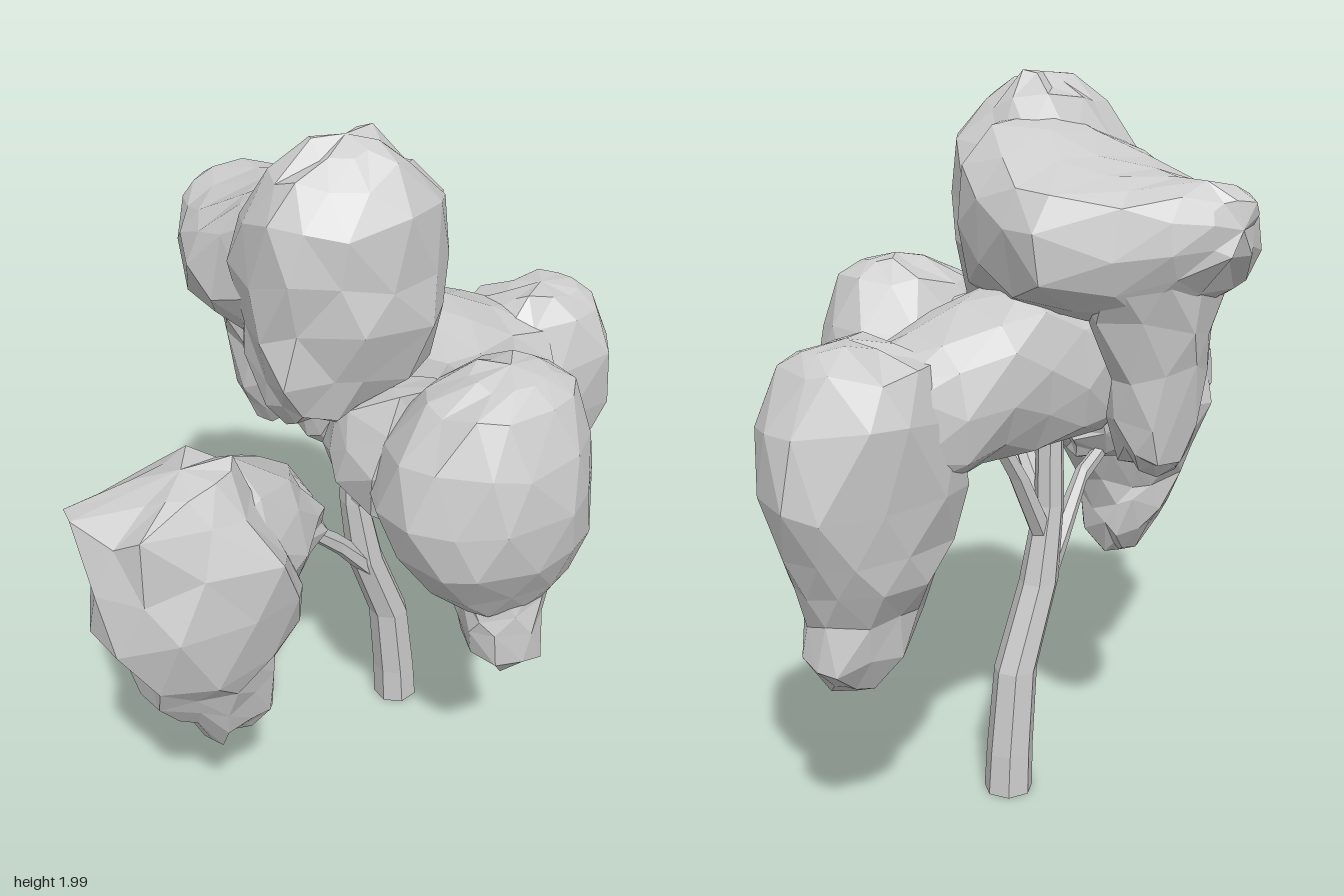
import * as THREE from 'three';

const material = new THREE.MeshStandardMaterial({ color: 0xcccccc, flatShading: true });

// Small seeded generator returning -1..1
function seeded(seed) {
  let s = seed * 7919 + 17;
  return () => {
    s = (s * 16807) % 2147483647;
    return (s / 2147483647) * 2 - 1;
  };
}

// How (u, v) of a section maps to space when sections are stacked along each axis
const place = {
  x: (t, u, v) => [t, u, v],
  y: (t, u, v) => [u, t, v],
  z: (t, u, v) => [u, v, t],
};

const power = (c, p) => Math.sign(c) * Math.abs(c) ** p;

// Closed faceted loft. Each section is [t, uMin, uMax, vMin, vMax];
// rough is the bumpiness, a bend below 1 makes the sections boxier.
function loft(name, axis, sections, { sides = 11, rough = 0.1, seed = 1, bend = 0.9 } = {}) {
  const rnd = seeded(seed);
  for (let i = 0; i < 5; i++) rnd();
  const rings = [...sections].sort((a, b) => a[0] - b[0]);
  const pos = [], index = [];
  rings.forEach(([t, u0, u1, v0, v1], k) => {
    const ru = (u1 - u0) / 2, rv = (v1 - v0) / 2;
    for (let i = 0; i < sides; i++) {
      const a = ((i + (rough ? (k % 2) * 0.5 + rnd() * 0.25 : 0)) / sides) * Math.PI * 2;
      const r = rough ? 1.01 + rnd() * rough : 1;
      const dt = rnd() * rough * 0.3;
      pos.push(...place[axis](t + dt,
        (u0 + u1) / 2 + power(Math.cos(a), bend) * ru * r,
        (v0 + v1) / 2 + power(Math.sin(a), bend) * rv * r));
    }
  });
  const tri = (a, b, c) => (axis === 'y' ? index.push(a, c, b) : index.push(a, b, c));
  // Odd rings are turned half a step, so the diagonals alternate
  for (let k = 0; k < rings.length - 1; k++) {
    for (let i = 0; i < sides; i++) {
      const j = (i + 1) % sides;
      const a = k * sides + i, b = k * sides + j, c = a + sides, d = b + sides;
      if (k % 2) { tri(a, b, d); tri(a, d, c); } else { tri(a, b, c); tri(b, d, c); }
    }
  }
  // End caps
  [0, rings.length - 1].forEach((k) => {
    const [t, u0, u1, v0, v1] = rings[k];
    const tip = pos.length / 3;
    const out = rough ? (k ? 0.02 : -0.02) : 0;
    pos.push(...place[axis](t + out, (u0 + u1) / 2, (v0 + v1) / 2));
    for (let i = 0; i < sides; i++) {
      const a = k * sides + i, b = k * sides + ((i + 1) % sides);
      if (k) tri(a, b, tip); else tri(b, a, tip);
    }
  });
  const indexed = new THREE.BufferGeometry();
  indexed.setAttribute('position', new THREE.Float32BufferAttribute(pos, 3));
  indexed.setIndex(index);
  const geometry = indexed.toNonIndexed();
  geometry.computeVertexNormals();
  const mesh = new THREE.Mesh(geometry, material);
  mesh.name = name;
  return mesh;
}

function group(name, ...parts) {
  const g = new THREE.Group();
  g.name = name;
  g.add(...parts);
  return g;
}

// Stem from points [x, y, z, radius], cut square to the given axis
function stem(name, axis, points, sides) {
  const sections = points.map(([x, y, z, r]) => (axis === 'y'
    ? [y, x - r, x + r, z - r, z + r]
    : [x, y - r, y + r, z - r, z + r]));
  return loft(name, axis, sections, { sides, rough: 0, bend: 1 });
}

export function createModel() {
  const tree = new THREE.Group();
  tree.name = 'tree';

  // Bent trunk and thin branches
  tree.add(group('wood',
    stem('trunk', 'y', [[0.183, 0, -0.11, 0.07], [0.177, 0.12, -0.11, 0.067], [0.15, 0.36, -0.105, 0.062],
      [0.06, 0.6, -0.1, 0.057], [0.022, 0.82, -0.1, 0.043], [0.02, 1.2, -0.1, 0.036]], 7),
    stem('rightBranch', 'x', [[0.06, 0.57, -0.1, 0.05], [-0.06, 0.71, -0.06, 0.038],
      [-0.19, 0.84, 0, 0.028], [-0.32, 0.89, 0.05, 0.024], [-0.5, 0.96, 0.12, 0.02]], 6),
    stem('leftBranch', 'y', [[0.04, 0.72, -0.1, 0.035], [0.14, 0.92, -0.11, 0.03], [0.25, 1.1, -0.11, 0.026]], 6),
    stem('frontBranch', 'y', [[0.03, 0.8, -0.1, 0.034], [0.02, 0.97, 0.02, 0.028], [0.02, 1.12, 0.13, 0.025]], 6)));

  // Right clump: drooping body and a knot reaching back to its branch
  tree.add(group('rightClump',
    loft('rightClumpBody', 'y', [
      [1.3, -0.78, -0.53, 0.15, 0.33], [1.24, -0.92, -0.5, 0.08, 0.39], [1.1, -0.91, -0.39, 0.03, 0.45],
      [0.95, -0.92, -0.37, 0.02, 0.46], [0.82, -0.85, -0.4, 0.06, 0.42], [0.71, -0.82, -0.45, 0.1, 0.38],
      [0.64, -0.74, -0.46, 0.11, 0.36], [0.56, -0.7, -0.46, 0.13, 0.34], [0.47, -0.64, -0.51, 0.18, 0.28]],
    { seed: 3, bend: 0.85 }),
    loft('rightClumpArm', 'x', [
      [-0.23, 0.9, 1.02, 0.06, 0.14], [-0.28, 0.87, 1.1, -0.02, 0.19], [-0.37, 0.85, 1.18, -0.06, 0.3],
      [-0.5, 0.8, 1.25, -0.05, 0.38], [-0.65, 0.84, 1.25, 0, 0.4], [-0.8, 0.92, 1.2, 0.06, 0.37]],
    { seed: 4, sides: 10 })));

  // Front clump
  tree.add(group('frontClump',
    loft('frontClumpBody', 'y', [
      [1.46, 0.04, 0.24, 0.37, 0.54], [1.41, -0.07, 0.31, 0.29, 0.6], [1.28, -0.16, 0.36, 0.22, 0.65],
      [1.14, -0.2, 0.39, 0.18, 0.67], [1.0, -0.17, 0.38, 0.2, 0.66], [0.88, -0.09, 0.34, 0.24, 0.61],
      [0.8, 0.0, 0.28, 0.3, 0.56]], { seed: 6, rough: 0.05, sides: 12 }),
    loft('frontClumpTail', 'y', [
      [0.9, 0.03, 0.28, 0.3, 0.56], [0.78, 0.03, 0.28, 0.33, 0.57], [0.7, 0.03, 0.27, 0.35, 0.57],
      [0.63, 0.05, 0.27, 0.37, 0.57], [0.58, 0.11, 0.22, 0.42, 0.52]], { seed: 14, sides: 9 }),
    loft('frontClumpArm', 'z', [
      [0.03, -0.14, 0.06, 1.06, 1.28], [0.1, -0.19, 0.11, 1.0, 1.33], [0.18, -0.2, 0.16, 0.97, 1.35],
      [0.3, -0.18, 0.25, 0.95, 1.36]], { seed: 7 })));

  // Left clump with the thick foliage arm leading to it
  tree.add(group('leftClump',
    loft('leftClumpBody', 'y', [
      [1.35, 0.55, 0.79, -0.18, -0.02], [1.3, 0.46, 0.85, -0.28, 0.05], [1.17, 0.4, 0.92, -0.32, 0.09],
      [1.0, 0.38, 0.93, -0.31, 0.08], [0.87, 0.41, 0.89, -0.3, 0.05], [0.76, 0.46, 0.85, -0.28, 0.02],
      [0.68, 0.5, 0.81, -0.23, 0], [0.57, 0.53, 0.83, -0.22, -0.01], [0.48, 0.61, 0.75, -0.17, -0.06]],
    { seed: 9, rough: 0.07 }),
    loft('leftClumpArm', 'x', [
      [-0.12, 1.08, 1.34, -0.26, 0], [-0.05, 1.03, 1.4, -0.3, 0.05], [0.08, 1.02, 1.44, -0.32, 0.08],
      [0.2, 1.02, 1.46, -0.33, 0.1], [0.32, 1.01, 1.42, -0.33, 0.11], [0.46, 0.98, 1.35, -0.33, 0.1],
      [0.6, 0.98, 1.3, -0.3, 0.08]], { seed: 10, rough: 0.05, bend: 0.8 })));

  // Crown: tall front lobe, a lobe sloping to the back and a tail hanging under its rear end
  tree.add(group('crown',
    loft('crownFront', 'y', [
      [1.97, -0.19, -0.01, 0.01, 0.14], [1.91, -0.29, 0.07, -0.06, 0.2], [1.8, -0.35, 0.14, -0.14, 0.25],
      [1.67, -0.37, 0.18, -0.18, 0.26], [1.52, -0.37, 0.2, -0.18, 0.26], [1.4, -0.35, 0.13, -0.14, 0.23],
      [1.31, -0.32, 0.0, -0.06, 0.18], [1.26, -0.28, -0.12, 0, 0.13]], { seed: 15, sides: 12 }),
    loft('crownBack', 'z', [
      [0.1, -0.28, 0.14, 1.42, 1.86], [-0.02, -0.34, 0.27, 1.36, 1.88], [-0.14, -0.36, 0.29, 1.37, 1.85],
      [-0.25, -0.37, 0.3, 1.38, 1.79], [-0.36, -0.36, 0.29, 1.38, 1.75], [-0.48, -0.32, 0.18, 1.4, 1.73],
      [-0.59, -0.25, 0.07, 1.46, 1.73], [-0.65, -0.17, -0.02, 1.55, 1.69]],
    { seed: 12, sides: 12, rough: 0.06, bend: 0.8 }),
    loft('crownTail', 'y', [
      [1.5, -0.26, 0.16, -0.58, -0.28], [1.37, -0.22, 0.12, -0.56, -0.3], [1.25, -0.19, 0.08, -0.54, -0.33],
      [1.12, -0.18, 0.07, -0.53, -0.33], [1.03, -0.15, 0.05, -0.51, -0.36], [0.98, -0.11, 0.0, -0.48, -0.4]],
    { seed: 13, sides: 9 })));

  return tree;
}
